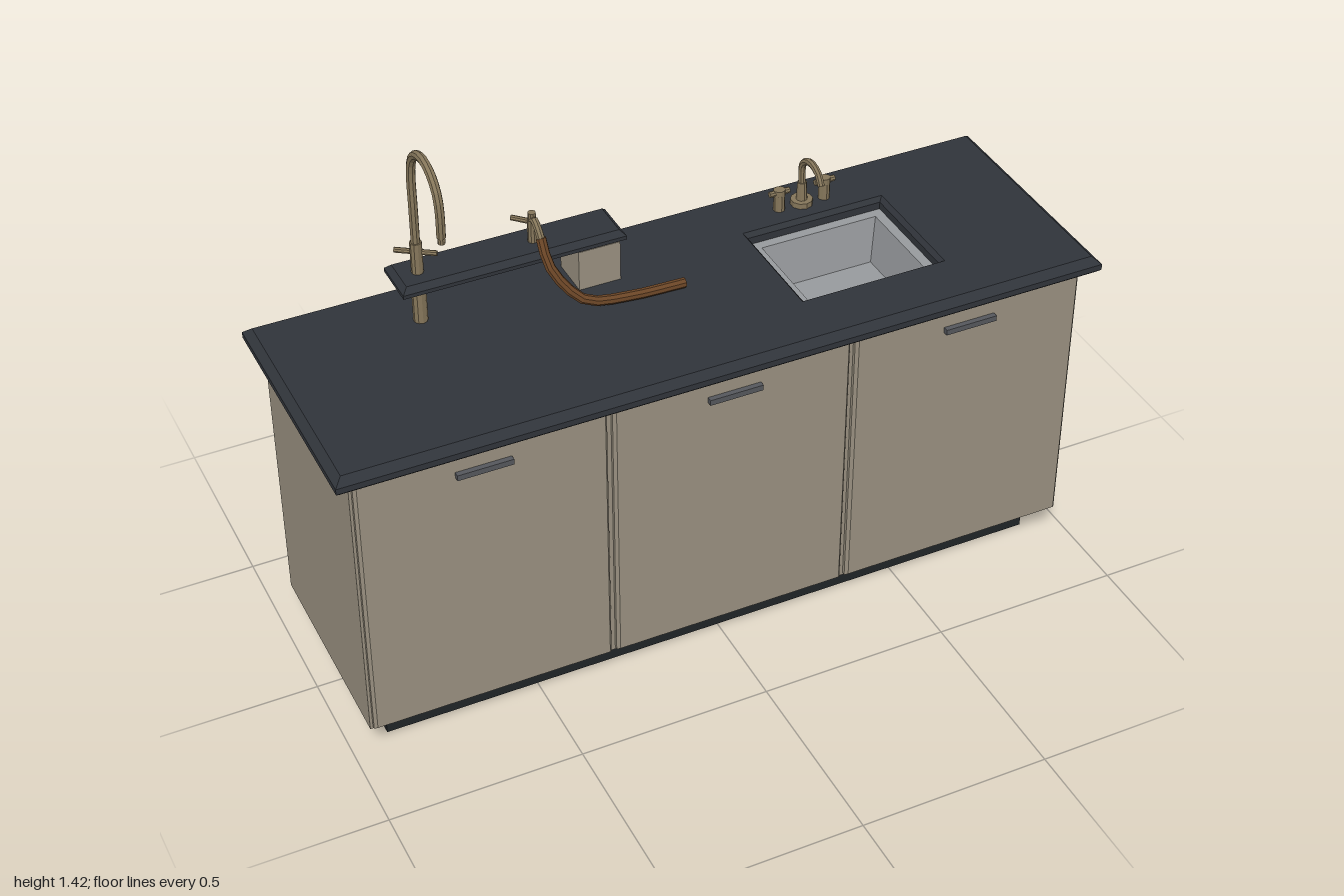
import * as THREE from 'three';
import { mergeGeometries } from 'three/addons/utils/BufferGeometryUtils.js';

const mat = (color) => new THREE.MeshStandardMaterial({ color, flatShading: true });
const cabinetMat = mat(0x999080), stoneMat = mat(0x30343a), plinthMat = mat(0x202427);
const brassMat = mat(0x85765a), steelMat = mat(0x979a9d), handleMat = mat(0x55575c), hoseMat = mat(0x6a4526);

// Surface through a list of rectangles [x0, x1, z0, z1, y]
function loft(rings, capStart, capEnd) {
  const pos = [];
  const corners = rings.map(([x0, x1, z0, z1, y]) => [[x1, y, z1], [x1, y, z0], [x0, y, z0], [x0, y, z1]]);
  const quad = (a, b, c, d) => pos.push(...a, ...b, ...c, ...a, ...c, ...d);
  for (let k = 0; k < corners.length - 1; k++) {
    const lo = corners[k], hi = corners[k + 1];
    for (let i = 0; i < 4; i++) {
      const j = (i + 1) % 4;
      quad(lo[i], lo[j], hi[j], hi[i]);
    }
  }
  if (capStart) quad(...[...corners[0]].reverse());
  if (capEnd) quad(...corners[corners.length - 1]);
  const g = new THREE.BufferGeometry();
  g.setAttribute('position', new THREE.Float32BufferAttribute(pos, 3));
  g.computeVertexNormals();
  return g;
}

// Capped tube along a smooth path
function pipe(points, radius, segments, sides = 8) {
  const curve = new THREE.CatmullRomCurve3(points.map((p) => new THREE.Vector3(...p)), false, 'centripetal');
  const parts = [new THREE.TubeGeometry(curve, segments, radius, sides)];
  for (const t of [0, 1]) {
    const dir = curve.getTangentAt(t).multiplyScalar(t ? 1 : -1);
    const cap = new THREE.CircleGeometry(radius, sides);
    cap.applyQuaternion(new THREE.Quaternion().setFromUnitVectors(new THREE.Vector3(0, 0, 1), dir));
    const p = curve.getPointAt(t);
    cap.translate(p.x, p.y, p.z);
    parts.push(cap);
  }
  return mergeGeometries(parts);
}

function add(parent, name, geometry, material) {
  const mesh = new THREE.Mesh(geometry, material);
  mesh.name = name;
  parent.add(mesh);
  return mesh;
}

// Box and upright cylinder given by their extents
function box(parent, name, material, x0, x1, y0, y1, z0, z1) {
  return add(parent, name, loft([[x0, x1, z0, z1, y0], [x0, x1, z0, z1, y1]], true, true), material);
}
function post(parent, name, x, z, y0, y1, r, rTop = r) {
  const m = add(parent, name, new THREE.CylinderGeometry(rTop, r, y1 - y0, 10), brassMat);
  m.position.set(x, (y0 + y1) / 2, z);
  return m;
}

function group(parent, name) {
  const g = new THREE.Group();
  g.name = name;
  parent.add(g);
  return g;
}

export function createModel() {
  const model = new THREE.Group();
  model.name = 'kitchenIsland';

  // Stepped plinth and carcass, open at the top under the counter
  box(model, 'plinthBase', plinthMat, -0.9, 0.9, 0, 0.06, -0.225, 0.225);
  box(model, 'plinthTop', plinthMat, -0.91, 0.91, 0.055, 0.092, -0.232, 0.232);
  add(model, 'carcass', loft([
    [-0.96, 0.96, -0.29, 0.285, 0.09], [-0.96, 0.96, -0.29, 0.285, 0.862],
  ], true, false), cabinetMat);

  // Three doors with chamfered fronts and bar handles
  const doors = group(model, 'doors');
  for (const x of [-0.64, 0, 0.64]) {
    const w = 0.313, h = 0.378, c = 0.007;
    const door = add(doors, 'door', loft([
      [-w, w, -h, h, 0], [-w, w, -h, h, 0.01], [-w + c, w - c, -h + c, h - c, 0.018],
    ], true, true), cabinetMat);
    door.rotation.x = Math.PI / 2;
    door.position.set(x, 0.474, 0.284);
    box(doors, 'doorHandle', handleMat, x - 0.07, x + 0.07, 0.796, 0.811, 0.295, 0.316);
  }

  // Countertop with chamfered edge and a sink opening
  const hole = (e, y) => [0.26 - e, 0.635 + e, -0.145 - e, 0.155 + e, y];
  const outer = (e, y) => [-1 + e, 1 - e, -0.325 + e, 0.325 - e, y];
  add(model, 'countertop', loft([
    outer(0.008, 0.858), outer(0, 0.866), outer(0, 0.882), outer(0.02, 0.9),
    hole(0.01, 0.9), hole(0, 0.888), hole(0, 0.858), outer(0.008, 0.858),
  ]), stoneMat);

  // Sink basin: flat rim, sloping walls and floor
  const basin = add(model, 'sinkBasin', loft([
    hole(0.002, 0.868), hole(-0.026, 0.868), hole(-0.045, 0.745),
  ], false, true), steelMat);
  basin.material.side = THREE.DoubleSide;

  // Raised shelf and its block support
  const shelf = group(model, 'raisedShelf');
  const slab = (e, y) => [-0.665 + e, -0.09 - e, -0.232 + e, -0.104 - e, y];
  add(shelf, 'shelfSlab', loft([
    slab(0.012, 1.008), slab(0, 1.016), slab(0, 1.026), slab(0.014, 1.04),
  ], true, true), stoneMat);
  box(shelf, 'shelfSupport', cabinetMat, -0.215, -0.105, 0.899, 1.01, -0.222, -0.11);

  // Tall gooseneck tap rising through the shelf
  const tall = group(model, 'tallTap');
  const tx = -0.605, tz = -0.165;
  post(tall, 'tapFoot', tx, tz, 0.899, 1.01, 0.018);
  post(tall, 'tapBody', tx, tz, 1.035, 1.125, 0.015);
  const neck = [[tx, 1.12, tz], [tx, 1.22, tz], [tx, 1.315, tz]];
  for (let i = 1; i <= 6; i++) {
    const a = Math.PI * (1 - i / 6);
    neck.push([tx, 1.315 + 0.09 * Math.sin(a), -0.075 + 0.09 * Math.cos(a)]);
  }
  neck.push([tx, 1.25, 0.015]);
  add(tall, 'tapNeck', pipe(neck, 0.0115, 24), brassMat);
  post(tall, 'tapNozzle', tx, 0.015, 1.233, 1.255, 0.009);
  add(tall, 'tapLever', pipe([[-0.648, 1.095, -0.198], [-0.562, 1.095, -0.14]], 0.007, 1), brassMat);

  // Second tap with its flexible hose lying on the counter
  const spray = group(model, 'hoseTap');
  post(spray, 'hoseTapBody', -0.31, tz, 1.035, 1.1, 0.012);
  add(spray, 'hoseTapNeck', pipe([
    [-0.31, 1.09, tz], [-0.31, 1.108, -0.155], [-0.31, 1.102, -0.135], [-0.31, 1.075, -0.108],
  ], 0.01, 6), brassMat);
  add(spray, 'hoseTapLever', pipe([[-0.348, 1.095, -0.203], [-0.305, 1.095, -0.16]], 0.007, 1), brassMat);
  post(spray, 'hoseTapCap', -0.31, tz, 1.095, 1.122, 0.01);
  add(spray, 'hose', pipe([
    [-0.31, 1.08, -0.112], [-0.305, 1.02, -0.078], [-0.265, 0.955, -0.045],
    [-0.225, 0.925, -0.03], [-0.12, 0.916, -0.016], [0.02, 0.915, -0.01],
  ], 0.013, 12), hoseMat);

  // Sink tap: curved spout between two cross handles
  const mixer = group(model, 'sinkTap');
  const sx = 0.445, sz = -0.212;
  post(mixer, 'spoutFlange', sx, sz, 0.899, 0.915, 0.029);
  post(mixer, 'spoutBody', sx, sz, 0.91, 0.965, 0.015, 0.012);
  add(mixer, 'spout', pipe([
    [sx, 0.95, sz], [sx, 1.015, sz], [sx, 1.035, -0.195], [sx, 1.046, -0.165],
    [sx, 1.036, -0.13], [sx, 1.01, -0.113],
  ], 0.0095, 12), brassMat);
  for (const s of [-1, 1]) {
    const hx = sx + s * 0.064;
    post(mixer, 'valveStem', hx, sz, 0.899, 0.945, 0.015);
    const lever = post(mixer, 'valveLever', hx, sz, 0.942, 0.96, 0.016);
    lever.scale.set(1, 1, 0.9);
    add(mixer, 'valveBar', pipe([[hx - 0.028, 0.951, sz], [hx + 0.028, 0.951, sz]], 0.008, 1), brassMat);
  }
  return model;
}
